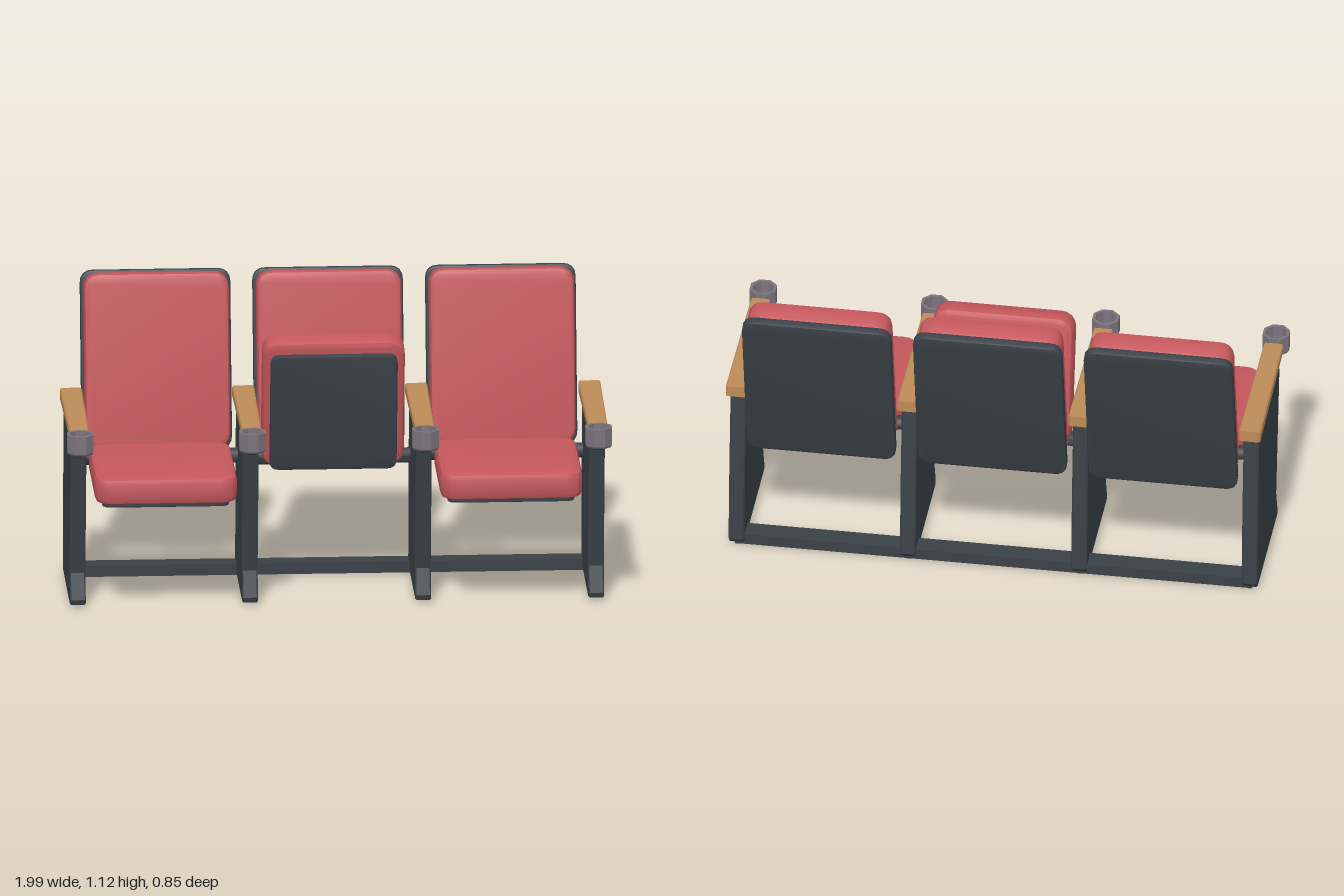
import * as THREE from 'three';
import { toCreasedNormals } from 'three/addons/utils/BufferGeometryUtils.js';

const mat = (name, color) => {
  const m = new THREE.MeshStandardMaterial({ color });
  m.name = name;
  return m;
};

// Rounded slab centred on the origin, lying in xy with its thickness along z
function slab(w, h, d, r, bevel) {
  const x = w / 2 - bevel, y = h / 2 - bevel;
  const s = new THREE.Shape();
  s.moveTo(-x + r, -y);
  s.lineTo(x - r, -y);
  s.quadraticCurveTo(x, -y, x, -y + r);
  s.lineTo(x, y - r);
  s.quadraticCurveTo(x, y, x - r, y);
  s.lineTo(-x + r, y);
  s.quadraticCurveTo(-x, y, -x, y - r);
  s.lineTo(-x, -y + r);
  s.quadraticCurveTo(-x, -y, -x + r, -y);
  const g = new THREE.ExtrudeGeometry(s, {
    depth: d - 2 * bevel, bevelEnabled: true, bevelSize: bevel,
    bevelThickness: bevel, bevelSegments: 2, curveSegments: 4,
  });
  g.translate(0, 0, -d / 2 + bevel);
  return toCreasedNormals(g, 0.6);
}

// Side outline of [z, y] points extruded to a width along x, centred on x = 0
function sideProfile(points, width, bevel = 0.005) {
  const s = new THREE.Shape(points.map(([z, y]) => new THREE.Vector2(z, y)));
  const g = new THREE.ExtrudeGeometry(s, {
    depth: width - 2 * bevel, bevelEnabled: true, bevelSize: bevel, bevelOffset: -bevel,
    bevelThickness: bevel, bevelSegments: 1,
  });
  g.translate(0, 0, -width / 2 + bevel);
  g.rotateY(-Math.PI / 2);
  return toCreasedNormals(g, 0.4);
}

export function createModel() {
  const model = new THREE.Group();
  model.name = 'seatRow';
  const red = mat('redUpholstery', 0xc4575c);
  const dark = mat('darkFrame', 0x3a4147);
  const wood = mat('wood', 0xbd8c58);
  const grey = mat('greyPlastic', 0x7b737d);

  const add = (parent, name, geo, material, x = 0, y = 0, z = 0) => {
    const m = new THREE.Mesh(geo, material);
    m.name = name;
    m.position.set(x, y, z);
    parent.add(m);
    return m;
  };

  // Shared geometries
  const shellGeo = slab(0.55, 0.66, 0.038, 0.04, 0.008);
  const backPadGeo = slab(0.53, 0.645, 0.095, 0.04, 0.018);
  const cushionGeo = slab(0.52, 0.51, 0.1, 0.04, 0.022).rotateX(-Math.PI / 2);
  const panGeo = slab(0.465, 0.465, 0.03, 0.03, 0.005).rotateX(-Math.PI / 2);
  const hingeGeo = toCreasedNormals(
    new THREE.CylinderGeometry(0.028, 0.028, 0.57, 10).rotateZ(Math.PI / 2), 0.8);

  const panelGeo = sideProfile([
    [0.215, 0.01], [0.222, 0.03], [0.19, 0.125], [0.268, 0.62], [0.25, 0.658],
    [-0.22, 0.658], [-0.252, 0.34], [-0.272, 0.03], [-0.258, 0.01],
  ].reverse(), 0.058);
  const bracketGeo = sideProfile([
    [0.24, 0.63], [0.24, 0.605], [0.29, 0.615], [0.35, 0.608], [0.36, 0.618], [0.36, 0.632],
  ], 0.04, 0.003);
  // Armrest narrows a little towards the front
  const armGeo = sideProfile([
    [-0.265, 0.656], [0.315, 0.663], [0.315, 0.698], [-0.265, 0.7],
  ], 0.08);
  const p = armGeo.attributes.position;
  for (let i = 0; i < p.count; i++) p.setX(i, p.getX(i) * (0.95 - 0.22 * p.getZ(i)));
  // Open faceted cup
  const cupProfile = [[0, 0], [0.046, 0], [0.052, 0.008], [0.052, 0.075], [0.04, 0.075], [0.038, 0.012], [0, 0.012]];
  const cupGeo = toCreasedNormals(new THREE.LatheGeometry(
    cupProfile.map(([x, y]) => new THREE.Vector2(x, y)), 8, Math.PI / 8), 0.3);

  // Seats: the middle one is folded up
  [-0.633, -0.002, 0.63].forEach((x, i) => {
    const back = new THREE.Group();
    back.name = 'backrest';
    back.position.set(x, 0.455, -0.295);
    back.rotation.x = -0.206;
    add(back, 'backShell', shellGeo, dark, 0, 0.33, 0.019);
    add(back, 'backPad', backPadGeo, red, 0, 0.33, 0.083);
    model.add(back);

    const folded = i === 1;
    const seat = new THREE.Group();
    seat.name = folded ? 'foldedSeat' : 'openSeat';
    seat.position.set(x, folded ? 0.468 : 0.535, folded ? -0.139 : -0.11);
    if (folded) seat.rotation.x = -1.365;
    add(seat, 'seatCushion', cushionGeo, red, 0, -0.05, 0.255);
    add(seat, 'seatPan', panGeo, dark, 0, -0.105, 0.232);
    add(seat, 'seatHinge', hingeGeo, dark, 0, -0.05, 0.02);
    model.add(seat);
  });

  // Side panels with armrests and cup holders
  for (const x of [-0.948, -0.318, 0.315, 0.948]) {
    const side = new THREE.Group();
    side.name = 'sideSupport';
    side.position.x = x;
    add(side, 'sidePanel', panelGeo, dark);
    add(side, 'armrest', armGeo, wood);
    add(side, 'cupBracket', bracketGeo, dark);
    add(side, 'cupHolder', cupGeo, grey, 0, 0.63, 0.378);
    model.add(side);
  }

  // Floor rail joining the panels at the back
  add(model, 'floorRail', new THREE.BoxGeometry(1.9, 0.042, 0.075), dark, 0, 0.025, -0.222);
  // Bolts under the rail
  for (const x of [-0.948, -0.318, 0.315, 0.948])
    for (const z of [-0.25, -0.195])
      add(model, 'railBolt', new THREE.CylinderGeometry(0.008, 0.008, 0.012, 8), dark, x, 0.006, z);

  return model;
}
